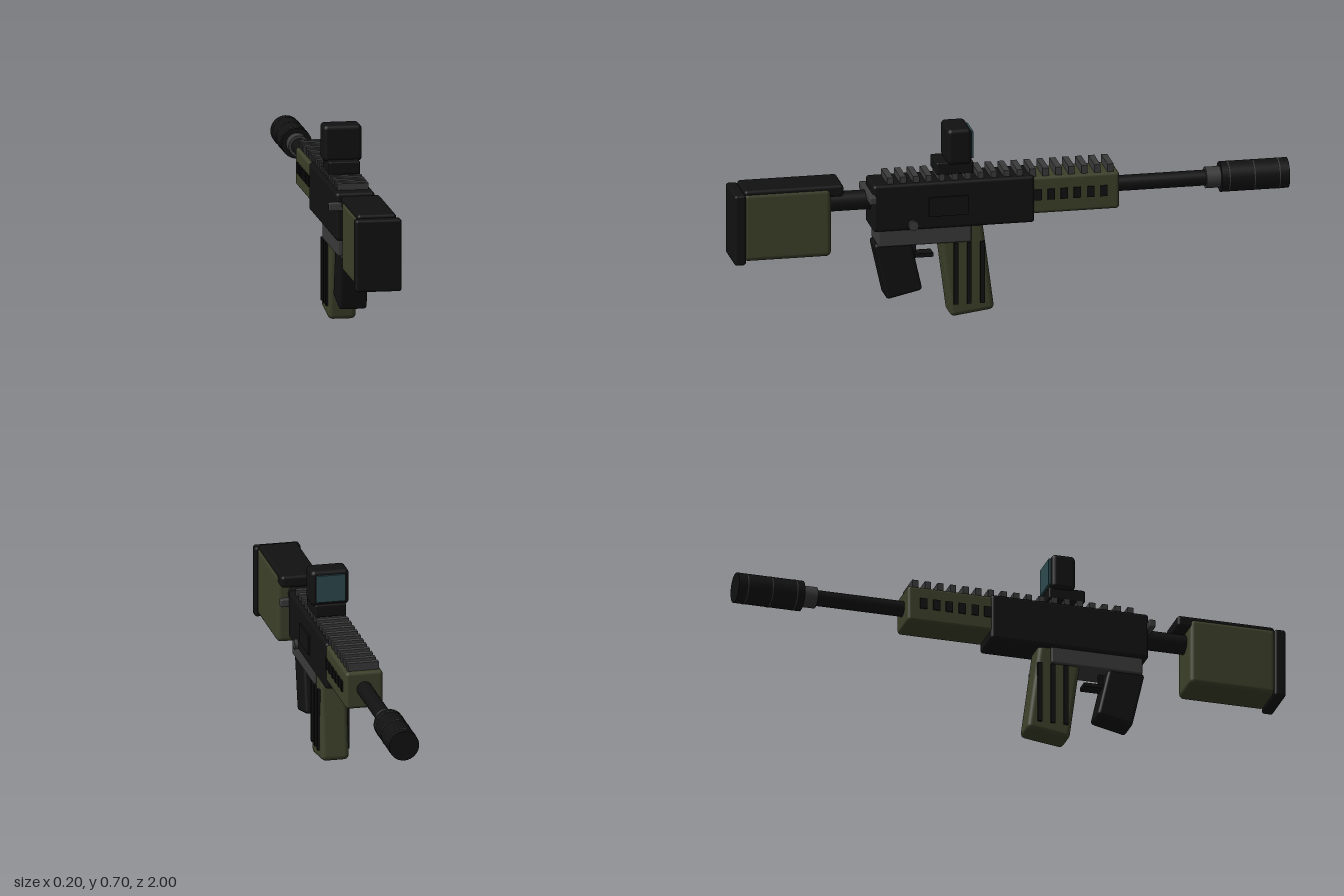
import * as THREE from 'three';
import { RoundedBoxGeometry } from 'three/addons/geometries/RoundedBoxGeometry.js';

const mat = (name, color) => {
  const m = new THREE.MeshStandardMaterial({ color });
  m.name = name;
  return m;
};

export function createModel() {
  const black = mat('black', 0x111111);
  const gray = mat('gray', 0x3a3a3a);
  const olive = mat('olive', 0x3d402a);
  const teal = mat('lens teal', 0x2e4a50);
  const model = new THREE.Group();

  const add = (name, geometry, material, x, y, z, rotX = 0) => {
    const mesh = new THREE.Mesh(geometry, material);
    mesh.name = name;
    mesh.position.set(x, y, z);
    mesh.rotation.x = rotX;
    model.add(mesh);
    return mesh;
  };
  // box from its extents: half width, y range, z range; optional rounding
  const block = (name, material, halfW, y0, y1, z0, z1, r = 0, x = 0) => {
    const size = [halfW * 2, y1 - y0, z1 - z0];
    const g = r ? new RoundedBoxGeometry(...size, 3, r) : new THREE.BoxGeometry(...size);
    return add(name, g, material, x, (y0 + y1) / 2, (z0 + z1) / 2);
  };
  // cylinder along z
  const rod = (name, material, radius, z0, z1, y = 0.445) =>
    add(name, new THREE.CylinderGeometry(radius, radius, z1 - z0, 32), material, 0, y, (z0 + z1) / 2, Math.PI / 2);

  // Stock
  block('buttPad', black, 0.083, 0.255, 0.514, 0.958, 1.0, 0.01);
  block('stock', olive, 0.075, 0.265, 0.516, 0.65, 0.965, 0.018);
  block('cheekRest', black, 0.07, 0.482, 0.526, 0.605, 0.962, 0.012);
  rod('bufferTube', black, 0.035, 0.49, 0.68);

  // Receiver and controls
  block('receiver', black, 0.07, 0.342, 0.514, -0.08, 0.5, 0.012);
  block('lowerReceiver', gray, 0.06, 0.283, 0.35, 0.145, 0.48, 0.006);
  block('chargingHandle', gray, 0.098, 0.453, 0.482, 0.492, 0.517, 0.005);
  block('ejectionPort', black, 0.005, 0.39, 0.46, 0.16, 0.3, 0, 0.072);
  const pin = add('selectorPin', new THREE.CylinderGeometry(0.018, 0.018, 0.022, 20), gray, 0.072, 0.362, 0.357);
  pin.rotation.z = Math.PI / 2;

  // Grip and trigger
  add('grip', new RoundedBoxGeometry(0.1, 0.21, 0.132, 3, 0.012), black, 0, 0.2, 0.405, 0.22);
  block('triggerGuard', black, 0.025, 0.225, 0.239, 0.275, 0.38);
  block('trigger', black, 0.01, 0.235, 0.29, 0.335, 0.35);

  // Magazine with vertical ribs on both sides
  add('magazine', new RoundedBoxGeometry(0.1, 0.34, 0.16, 3, 0.018), olive, 0, 0.182, 0.16, 0.13);
  for (const side of [-1, 1]) {
    for (const z of [0.2, 0.152, 0.104]) {
      block('magazineRib', black, 0.005, 0.053, 0.28, z - 0.008, z + 0.008, 0, side * 0.052);
    }
  }

  // Handguard with side vents
  block('handguard', olive, 0.067, 0.373, 0.508, -0.385, -0.07, 0.012);
  for (const side of [-1, 1]) {
    for (let i = 0; i < 6; i++) {
      const z = -0.092 - i * 0.047;
      block('handguardVent', black, 0.004, 0.424, 0.463, z - 0.013, z + 0.013, 0, side * 0.068);
    }
  }

  // Top rail teeth
  for (let i = 0; i < 18; i++) {
    const z = 0.436 - i * 0.0465;
    block('railTooth', gray, 0.056, 0.5, 0.537, z - 0.011, z + 0.011);
  }

  // Sight
  block('sightBase', black, 0.056, 0.534, 0.58, 0.137, 0.27, 0.006);
  block('sightBody', black, 0.069, 0.572, 0.703, 0.145, 0.232, 0.016);
  block('sightLens', teal, 0.052, 0.59, 0.688, 0.137, 0.146);

  // Barrel and muzzle
  rod('barrel', black, 0.028, -0.72, -0.37);
  rod('muzzleCollar', gray, 0.038, -0.765, -0.705);
  rod('suppressor', black, 0.054, -1.0, -0.757);
  for (const z of [-0.965, -0.875, -0.785]) rod('suppressorRing', gray, 0.055, z - 0.002, z + 0.002);

  return model;
}
